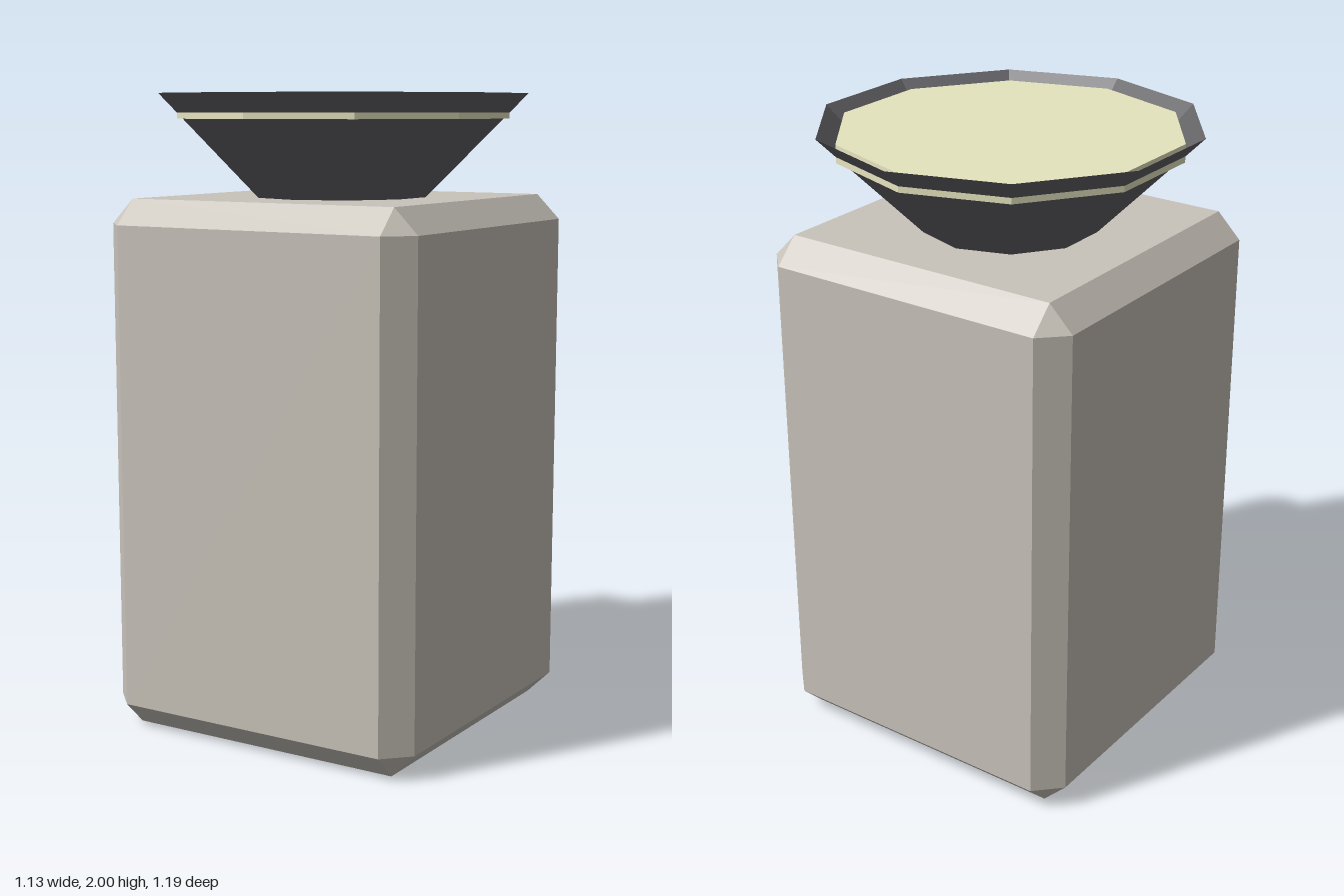
import * as THREE from 'three';
import { ConvexGeometry } from 'three/addons/geometries/ConvexGeometry.js';

// Box with every edge and corner cut flat, centred on the origin.
function chamferedBox(w, h, d, c) {
  const points = [];
  for (const sx of [-1, 1]) for (const sy of [-1, 1]) for (const sz of [-1, 1]) {
    const x = w / 2, y = h / 2, z = d / 2;
    points.push(
      new THREE.Vector3(sx * x, sy * (y - c), sz * (z - c)),
      new THREE.Vector3(sx * (x - c), sy * y, sz * (z - c)),
      new THREE.Vector3(sx * (x - c), sy * (y - c), sz * z)
    );
  }
  return new ConvexGeometry(points);
}

export function createModel() {
  const model = new THREE.Group();
  model.name = 'pedestalBowl';

  const stone = new THREE.MeshStandardMaterial({ color: 0xc8c3ba, flatShading: true });
  stone.name = 'warm grey stone';
  const metal = new THREE.MeshStandardMaterial({ color: 0x646468, flatShading: true, side: THREE.DoubleSide });
  metal.name = 'dark metal';
  const cream = new THREE.MeshStandardMaterial({ color: 0xe6e4bf, flatShading: true });
  cream.name = 'pale cream';

  const add = (name, geometry, material, y) => {
    const mesh = new THREE.Mesh(geometry, material);
    mesh.name = name;
    mesh.position.y = y;
    model.add(mesh);
  };

  const sides = 10;
  const bodyHeight = 1.68;

  // Square block with bevelled edges
  add('body', chamferedBox(1.086, bodyHeight, 1.086, 0.078), stone, bodyHeight / 2);

  // Open flared bowl standing on the block
  const bowlHeight = 2 - bodyHeight;
  add('bowl', new THREE.CylinderGeometry(0.593, 0.275, bowlHeight, sides, 1, true), metal, 2 - bowlHeight / 2);

  // Disc filling the bowl, its lower edge showing just outside the wall
  add('disc', new THREE.CylinderGeometry(0.535, 0.535, 0.056, sides), cream, 1.951);

  return model;
}
